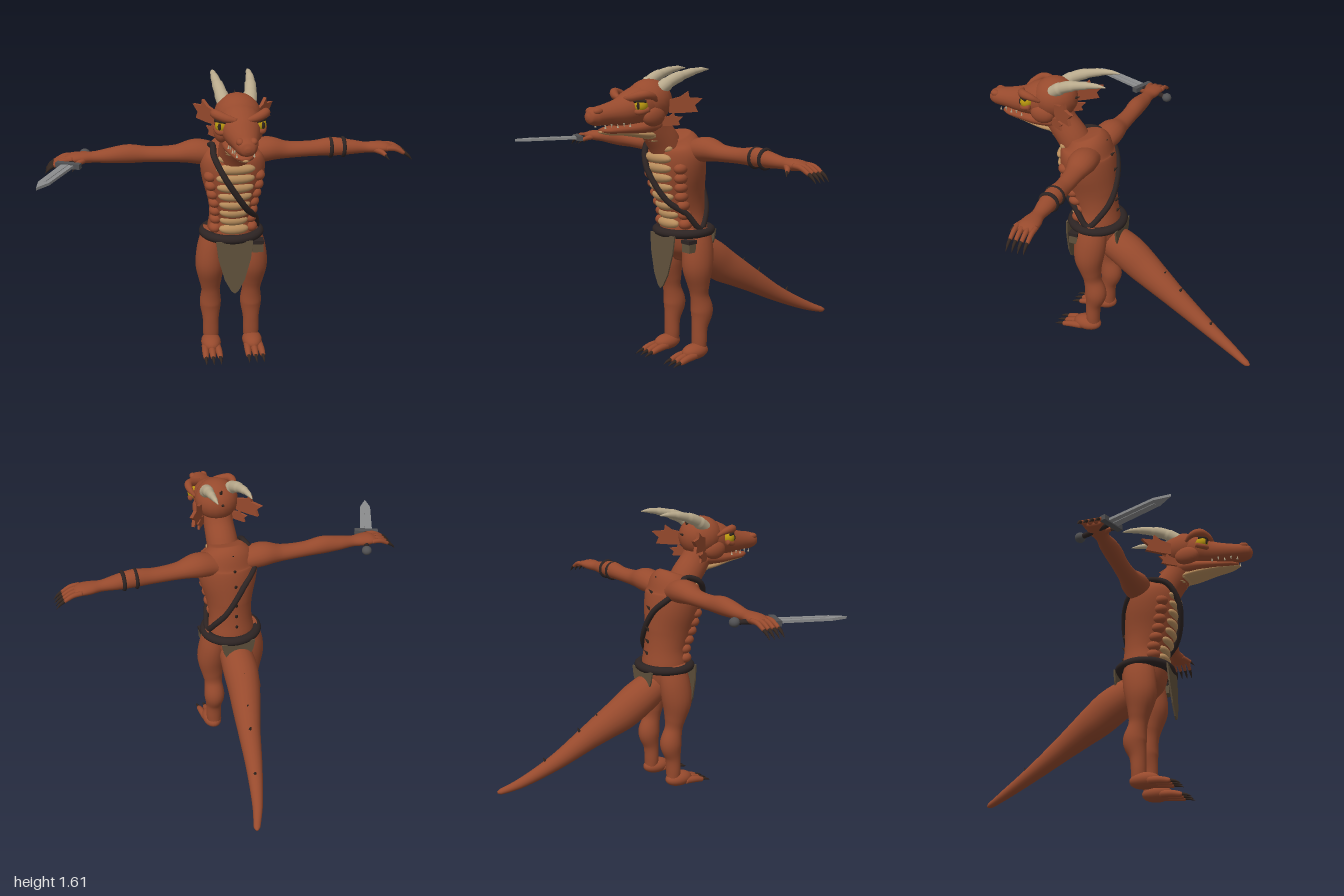
import * as THREE from 'three';

const mat = (name, color) => Object.assign(new THREE.MeshStandardMaterial({ color, side: THREE.DoubleSide }), { name });

// Sweeps an elliptical section through points [x, y, z, radiusA, radiusB]; radiusA lies across ref
function sweep(pts, ref, sides = 20, steps = 6, ripple = 0) {
  const path = new THREE.CatmullRomCurve3(pts.map(p => new THREE.Vector3(p[0], p[1], p[2])));
  const radii = new THREE.CatmullRomCurve3(
    pts.map(p => new THREE.Vector3(p[3], p[4] ?? p[3], 0)), false, 'catmullrom');
  const n = (pts.length - 1) * steps, pos = [], idx = [];
  for (let i = 0; i <= n; i++) {
    const t = i / n, c = path.getPoint(t), r = radii.getPoint(t), T = path.getTangent(t);
    const S = ref.clone().cross(T).normalize(), N = T.clone().cross(S);
    const k = 1 + ripple * ((t * 5) % 1);
    for (let j = 0; j < sides; j++) {
      const a = j / sides * Math.PI * 2;
      const p = c.clone().addScaledVector(S, Math.cos(a) * Math.max(r.x, 0.001) * k)
        .addScaledVector(N, Math.sin(a) * Math.max(r.y, 0.001) * k);
      pos.push(p.x, p.y, p.z);
      if (i < n) {
        const A = i * sides + j, B = i * sides + (j + 1) % sides;
        idx.push(A, B, A + sides, B, B + sides, A + sides);
      }
    }
  }
  // end caps
  [[0, 0], [1, n * sides]].forEach(([t, base]) => {
    const c = path.getPoint(t), k = pos.length / 3;
    pos.push(c.x, c.y, c.z);
    for (let j = 0; j < sides; j++) {
      const a = base + j, b = base + (j + 1) % sides;
      if (t) idx.push(k, a, b); else idx.push(k, b, a);
    }
  });
  const g = new THREE.BufferGeometry();
  g.setAttribute('position', new THREE.Float32BufferAttribute(pos, 3));
  g.setIndex(idx);
  g.computeVertexNormals();
  return g;
}

const X = new THREE.Vector3(1, 0, 0), Y = new THREE.Vector3(0, 1, 0), Z = new THREE.Vector3(0, 0, 1);
const ball = (x, y, z, a, b, c) => new THREE.SphereGeometry(1, 20, 14).scale(a, b, c).translate(x, y, z);
const plate = (pts, depth) => new THREE.ExtrudeGeometry(
  new THREE.Shape(pts.map(p => new THREE.Vector2(...p))), { depth, bevelEnabled: false }).translate(0, 0, -depth / 2);

// Torso sections: y, centre z, half width, half depth
const TORSO = [[0.55, 0.17, 0.06, 0.06], [0.62, 0.17, 0.125, 0.11], [0.72, 0.18, 0.135, 0.13],
  [0.82, 0.185, 0.122, 0.122], [0.92, 0.205, 0.132, 0.14], [1.05, 0.225, 0.165, 0.152],
  [1.14, 0.235, 0.172, 0.148], [1.2, 0.235, 0.145, 0.125], [1.245, 0.25, 0.09, 0.09]];
function torsoAt(y) {
  const i = Math.max(1, TORSO.findIndex(r => r[0] >= y)), a = TORSO[i - 1], b = TORSO[i];
  const t = (y - a[0]) / (b[0] - a[0]);
  return a.map((v, k) => v + (b[k] - v) * t);
}

export function createModel() {
  const skin = mat('rust skin', 0x974a2d), belly = mat('tan belly', 0xb88d5c), leather = mat('dark leather', 0x2d2423);
  const horn = mat('horn', 0xb9aa8c), claw = mat('dark claw', 0x33261f), cloth = mat('brown cloth', 0x5f503b);
  const steel = mat('steel', 0x8b8c8d), iron = mat('iron', 0x505052), yellow = mat('yellow eye', 0xb8960f);
  const root = new THREE.Group(), body = new THREE.Group();
  root.name = 'dragonWarrior';
  body.name = 'body';
  body.position.x = 0.01;
  root.add(body);
  const add = (name, g, m, parent = body) => {
    const mesh = new THREE.Mesh(g, m);
    mesh.name = name;
    parent.add(mesh);
    return mesh;
  };
  const spike = (x, y, z, tilt, h = 0.04) => {
    const m = add('spike', new THREE.ConeGeometry(0.011, h, 8), claw);
    m.position.set(x, y, z);
    m.rotation.x = tilt;
  };

  // Torso, neck and tail
  add('torso', sweep(TORSO.map(([y, z, a, b]) => [0, y, z, a, b]), Z, 28), skin);
  add('neck', sweep([[0, 1.1, 0.26, 0.09], [0, 1.22, 0.325, 0.088], [0, 1.3, 0.385, 0.084], [0, 1.4, 0.44, 0.085]], Z), skin);
  add('tail', sweep([[0, 0.62, 0.14, 0.09, 0.09], [0, 0.54, 0, 0.1, 0.103], [0.01, 0.47, -0.1, 0.092, 0.1],
    [0.03, 0.41, -0.2, 0.08, 0.085], [0.05, 0.35, -0.3, 0.066, 0.07], [0.085, 0.23, -0.5, 0.046, 0.046],
    [0.135, 0.13, -0.7, 0.028, 0.028], [0.173, 0.092, -0.8, 0.018, 0.016], [0.178, 0.088, -0.818, 0.006, 0.006]], Y), skin);

  // Belly scutes and side ribs
  for (let i = 0; i < 9; i++) {
    const y = 0.77 + i * 0.052, [, cz, rx, rz] = torsoAt(y);
    add('bellyScute', ball(0, y, cz + rz - 0.02, rx * 0.56 + 0.008, 0.032, 0.036), belly);
    if (i < 7) for (const s of [-1, 1])
      add('rib', ball(s * rx * 0.76, y, cz + rz * 0.56, 0.035, 0.03, 0.04), skin);
  }
  for (let i = 0; i < 4; i++)
    add('throatScute', ball(0, 1.215 + i * 0.022, 0.375 + i * 0.025, 0.062, 0.022, 0.04), belly);

  // Spine and tail spikes
  for (const y of [0.8, 0.87, 0.94, 1.06, 1.15, 1.22]) {
    const [, cz, , rz] = torsoAt(y);
    spike(0, y + 0.01, cz - rz - 0.008, -0.8);
  }
  for (const [x, y, z] of [[0.01, 0.575, -0.1], [0.04, 0.475, -0.25], [0.06, 0.405, -0.36], [0.1, 0.255, -0.56]])
    spike(x, y, z, -0.5);

  // Skull, snout and jaw
  add('skull', ball(0, 1.44, 0.42, 0.12, 0.115, 0.125), skin);
  add('snout', sweep([[0, 1.43, 0.38, 0.1, 0.1], [0, 1.42, 0.5, 0.108, 0.1], [0, 1.395, 0.6, 0.09, 0.076],
    [0, 1.387, 0.7, 0.068, 0.056], [0, 1.382, 0.78, 0.053, 0.046], [0, 1.38, 0.81, 0.036, 0.032], [0, 1.38, 0.822, 0.01, 0.01]], Y), skin);
  add('jaw', sweep([[0, 1.32, 0.4, 0.085, 0.05], [0, 1.31, 0.52, 0.086, 0.04], [0, 1.307, 0.62, 0.066, 0.028],
    [0, 1.306, 0.7, 0.046, 0.02], [0, 1.308, 0.74, 0.02, 0.01]], Y), skin);
  add('chinPlate', sweep([[0, 1.26, 0.38, 0.055, 0.024], [0, 1.272, 0.48, 0.07, 0.022], [0, 1.288, 0.6, 0.054, 0.016],
    [0, 1.295, 0.7, 0.034, 0.012], [0, 1.302, 0.745, 0.012, 0.006]], Y), belly);
  spike(0, 1.53, 0.32, -0.6);
  spike(0, 1.46, 0.29, -1.2);

  const fin = [[0, -0.035], [0, 0.035], [0.06, 0.05], [0.1, 0.078], [0.105, 0.045], [0.175, 0.04], [0.135, 0.005], [0.15, -0.03], [0.07, -0.035]];
  for (const s of [-1, 1]) {
    const side = s > 0 ? 'left' : 'right';

    // Face details
    add(side + 'Eye', ball(s * 0.092, 1.428, 0.55, 0.036, 0.036, 0.036), yellow);
    add(side + 'Pupil', ball(s * 0.108, 1.43, 0.58, 0.009, 0.018, 0.007), claw);
    add(side + 'EyeLine', sweep([[s * 0.06, 1.448, 0.578, 0.008], [s * 0.1, 1.455, 0.576, 0.009], [s * 0.125, 1.452, 0.54, 0.008]], Y, 8), claw);
    add(side + 'Brow', sweep([[s * 0.025, 1.462, 0.6, 0.012], [s * 0.075, 1.472, 0.585, 0.021], [s * 0.122, 1.485, 0.55, 0.023],
      [s * 0.128, 1.475, 0.5, 0.018], [s * 0.11, 1.45, 0.46, 0.008]], Y, 12), skin);
    add(side + 'LowerLid', sweep([[s * 0.06, 1.405, 0.585, 0.012], [s * 0.105, 1.397, 0.57, 0.015], [s * 0.122, 1.41, 0.52, 0.014]], Y, 10), skin);
    add(side + 'Cheek', ball(s * 0.085, 1.37, 0.46, 0.04, 0.055, 0.07), skin);
    add(side + 'Nostril', ball(s * 0.032, 1.41, 0.775, 0.02, 0.018, 0.028), skin);
    for (let i = 0; i < 5; i++) {
      const tooth = add('tooth', new THREE.ConeGeometry(0.006, 0.022, 6), horn);
      tooth.position.set(s * (0.066 - i * 0.006), 1.333, 0.6 + i * 0.035);
      tooth.rotation.x = Math.PI * (i % 2);
    }
    add(side + 'Horn', sweep([[s * 0.065, 1.495, 0.41, 0.034], [s * 0.078, 1.545, 0.33, 0.03], [s * 0.09, 1.58, 0.22, 0.021],
      [s * 0.094, 1.594, 0.13, 0.012], [s * 0.094, 1.594, 0.08, 0.002]], X, 14, 10, 0.14), horn);
    for (const [k, x, y, z] of [[1, 0.105, 1.415, 0.37], [0.62, 0.085, 1.335, 0.4]]) {
      const ear = add(side + (k === 1 ? 'Ear' : 'CheekFin'), plate(fin, 0.018), skin);
      ear.position.set(s * x, y, z);
      ear.rotation.y = s > 0 ? 0.98 : Math.PI - 0.98;
      ear.scale.setScalar(k);
    }

    // Arm, palm and fingers
    add(side + 'Arm', sweep([[0.08, 1.16, 0.19, 0.07, 0.06], [0.19, 1.18, 0.18, 0.078, 0.066], [0.3, 1.17, 0.175, 0.055, 0.046],
      [0.44, 1.17, 0.17, 0.047, 0.042], [0.55, 1.176, 0.17, 0.05, 0.05], [0.65, 1.17, 0.17, 0.046, 0.04],
      [0.73, 1.165, 0.17, 0.036, 0.03], [0.79, 1.165, 0.17, 0.05, 0.03], [0.84, 1.165, 0.17, 0.054, 0.026],
      [0.88, 1.16, 0.17, 0.04, 0.014]].map(([x, ...r]) => [s * x, ...r]), Y), skin);
    for (let i = 0; i < 4; i++) {
      const z = 0.17 + (i - 1.5) * 0.031;
      add('finger', sweep([[s * 0.84, 1.168, z, 0.013], [s * 0.89, 1.163, z, 0.013], [s * 0.94, 1.138, z, 0.01]], Z, 10), skin);
      add('fingerClaw', sweep([[s * 0.925, 1.147, z, 0.01], [s * 0.96, 1.126, z, 0.008], [s * 0.987, 1.098, z, 0.001]], Z, 8), claw);
    }
    add('thumb', sweep([[s * 0.78, 1.16, 0.2, 0.016], [s * 0.815, 1.15, 0.23, 0.014], [s * 0.83, 1.14, 0.25, 0.01]], Y, 10), skin);
    add('thumbClaw', sweep([[s * 0.825, 1.143, 0.245, 0.009], [s * 0.845, 1.12, 0.27, 0.001]], Y, 8), claw);

    // Leg, foot and toes
    add(side + 'Leg', sweep([[0.085, 0.73, 0.17, 0.07, 0.085], [0.112, 0.62, 0.178, 0.078, 0.092], [0.12, 0.52, 0.186, 0.08, 0.086],
      [0.117, 0.42, 0.176, 0.062, 0.06], [0.115, 0.36, 0.168, 0.052, 0.051], [0.115, 0.27, 0.15, 0.06, 0.064],
      [0.115, 0.18, 0.166, 0.046, 0.045], [0.115, 0.1, 0.17, 0.045, 0.041], [0.115, 0.04, 0.17, 0.04, 0.04]]
      .map(([x, ...r]) => [s * x, ...r]), Z), skin);
    add(side + 'Foot', ball(s * 0.118, 0.046, 0.205, 0.056, 0.044, 0.085), skin);
    for (let i = -1; i < 2; i++) {
      const x = s * 0.12 + i * 0.034;
      add('toe', sweep([[x, 0.035, 0.23, 0.02], [x + i * 0.004, 0.03, 0.3, 0.019], [x + i * 0.006, 0.02, 0.345, 0.014], [x + i * 0.006, 0.018, 0.355, 0.005]], Y, 12), skin);
      add('toeClaw', sweep([[x + i * 0.005, 0.024, 0.335, 0.011], [x + i * 0.007, 0.016, 0.375, 0.007], [x + i * 0.007, 0.005, 0.402, 0.001]], Y, 8), claw);
    }
  }

  // Belt and the strap slung from right shoulder to left hip
  add('belt', new THREE.TorusGeometry(0.15, 0.029, 12, 48).rotateX(Math.PI / 2).scale(1, 0.85, 0.95).translate(0, 0.718, 0.18), leather);
  const strap = [[1.235, -1.5], [1.2, -0.73], [1.1, -0.32], [1, 0], [0.9, 0.43], [0.83, 1], [0.74, 1.57],
    [0.81, 2.15], [0.9, 2.75], [1.05, 3.4], [1.15, 4], [1.22, 4.45]].map(([y, a]) => {
    const [, cz, rx, rz] = torsoAt(y), out = 0.006 + 0.02 * Math.max(0, Math.cos(a));
    return new THREE.Vector3(Math.sin(a) * (rx + out), y, cz + Math.cos(a) * (rz + out));
  });
  add('shoulderStrap', new THREE.TubeGeometry(new THREE.CatmullRomCurve3(strap, true), 90, 0.017, 8, true), leather);

  // Loincloth, rear flap and pouch
  const flap = [[-0.1, 0], [-0.088, -0.1], [-0.055, -0.22], [-0.02, -0.285], [0, -0.3], [0.02, -0.285], [0.055, -0.22], [0.088, -0.1], [0.1, 0]];
  const front = add('loincloth', plate(flap, 0.009), cloth);
  front.position.set(0, 0.712, 0.332);
  front.rotation.x = -0.06;
  const rear = add('rearFlap', plate(flap, 0.009), cloth);
  rear.position.set(0, 0.712, 0.03);
  rear.scale.y = 0.6;
  add('pouch', new THREE.BoxGeometry(0.06, 0.065, 0.05).translate(0.135, 0.655, 0.262), cloth);
  add('pouchFlap', new THREE.BoxGeometry(0.064, 0.02, 0.056).translate(0.135, 0.68, 0.262), leather);

  // Arm bands on the left forearm
  for (const x of [0.54, 0.61])
    add('armBand', new THREE.TorusGeometry(0.047, 0.011, 10, 28).rotateY(Math.PI / 2).translate(x, 1.172, 0.17), leather);

  // Sword in the right hand, running from pommel to tip along its own +z
  const sword = new THREE.Group();
  sword.name = 'sword';
  sword.position.set(-0.77, 1.153, 0.065);
  sword.rotation.y = Math.atan2(-0.23, 0.54);
  root.add(sword);
  add('pommel', ball(0, 0, 0, 0.028, 0.026, 0.028), iron, sword);
  add('grip', new THREE.CylinderGeometry(0.014, 0.014, 0.21, 12).rotateX(Math.PI / 2).translate(0, 0, 0.105), leather, sword);
  add('guard', new THREE.BoxGeometry(0.135, 0.028, 0.032).translate(0, 0, 0.21), iron, sword);
  add('blade', plate([[-0.035, 0.21], [0.035, 0.21], [0.03, 0.5], [0, 0.587], [-0.03, 0.5]], 0.014).rotateX(Math.PI / 2), steel, sword);
  add('bladeRidge', new THREE.BoxGeometry(0.014, 0.02, 0.28).translate(0, 0, 0.35), steel, sword);

  return root;
}
